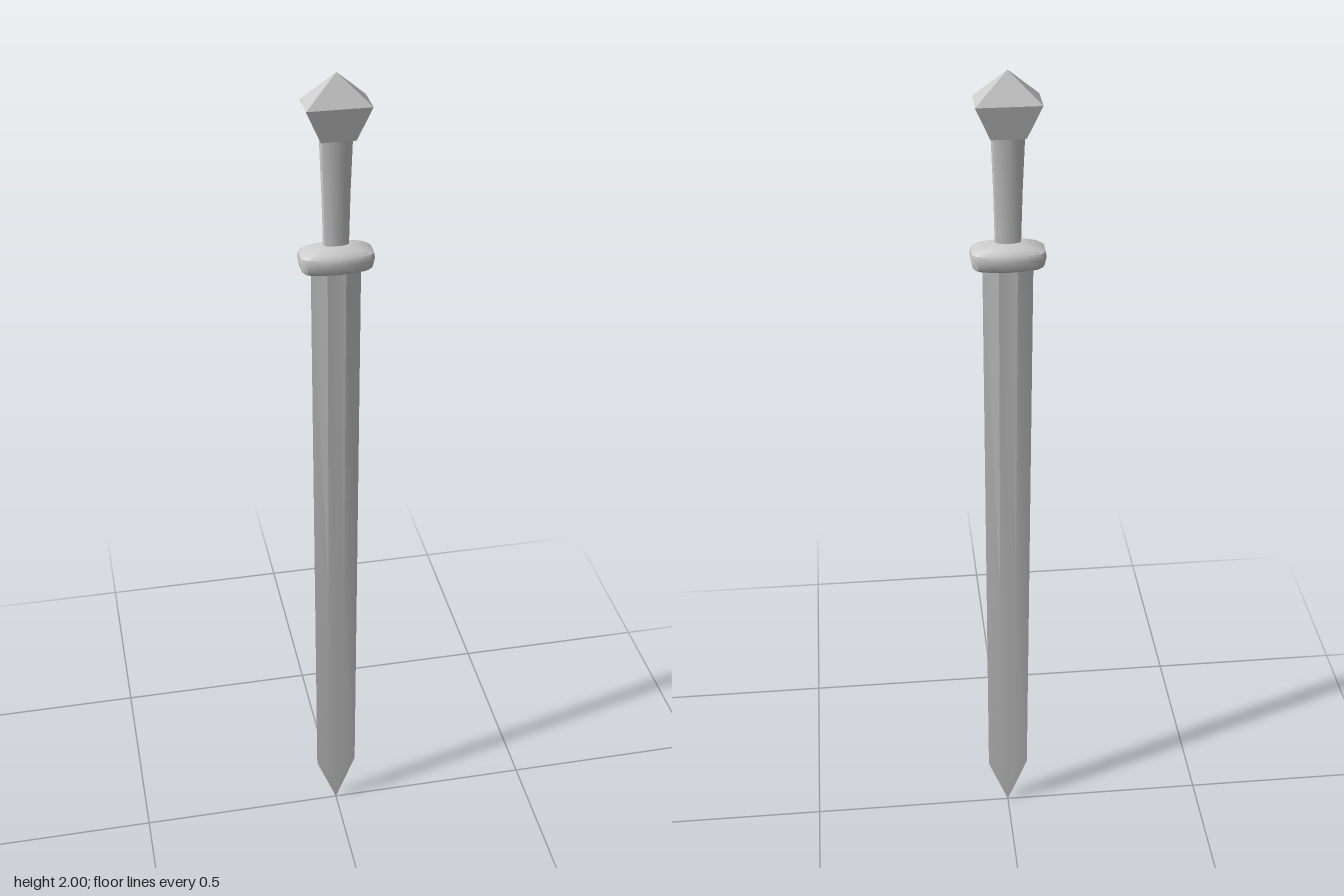
import * as THREE from 'three';
import { toCreasedNormals } from 'three/addons/utils/BufferGeometryUtils.js';

// Skins stacked cross-sections, listed bottom to top. Each level is [y, x scale, z scale];
// the section is a loop of [x, z] running counter-clockwise seen from above.
function loft(section, levels, crease) {
  const rings = levels.map(([y, sx, sz]) => section.map(([x, z]) => new THREE.Vector3(x * sx, y, z * sz)));
  const n = section.length;
  const pos = [];
  const tri = (a, b, c) => {
    if (new THREE.Triangle(a, b, c).getArea() < 1e-10) return;
    for (const p of [a, b, c]) pos.push(p.x, p.y, p.z);
  };
  for (let i = 0; i < rings.length - 1; i++) {
    for (let j = 0; j < n; j++) {
      const k = (j + 1) % n;
      tri(rings[i][j], rings[i][k], rings[i + 1][j]);
      tri(rings[i][k], rings[i + 1][k], rings[i + 1][j]);
    }
  }
  // End caps
  const low = rings[0], high = rings[rings.length - 1];
  for (let j = 1; j < n - 1; j++) {
    tri(low[0], low[j + 1], low[j]);
    tri(high[0], high[j], high[j + 1]);
  }
  const geometry = new THREE.BufferGeometry();
  geometry.setAttribute('position', new THREE.Float32BufferAttribute(pos, 3));
  return toCreasedNormals(geometry, crease);
}

// Completes a loop from the points of its right back quarter
function mirrorQuarter(quarter) {
  const half = [...quarter, ...quarter.slice(0, -1).reverse().map(([x, z]) => [-x, z])];
  return [...half, ...half.slice(1, -1).map(([x, z]) => [-x, -z])];
}

export function createModel() {
  const sword = new THREE.Group();
  sword.name = 'sword';
  const material = new THREE.MeshStandardMaterial({ color: 0xcccccc });
  const add = (name, geometry) => {
    const mesh = new THREE.Mesh(geometry, material);
    mesh.name = name;
    sword.add(mesh);
    return mesh;
  };

  // Thin blade with bevelled edges and a shallow central fuller, tapering to a point
  const bladeSection = mirrorQuarter([[1, 0], [0.37, -1], [0, -0.85]]);
  add('blade', loft(bladeSection, [
    [0, 0, 0.0008],
    [0.13, 0.05, 0.0025],
    [0.7, 0.052, 0.005],
    [1.58, 0.055, 0.0115],
  ], 0.2));

  // Rounded guard, fuller in the middle than at its ends
  const guardSection = mirrorQuarter([
    [1, 0], [1, -0.42], [0.95, -0.63], [0.85, -0.76], [0.45, -0.93], [0, -1],
  ]);
  add('guard', loft(guardSection, [
    [1.567, 0.07, 0.034],
    [1.573, 0.077, 0.041],
    [1.593, 0.081, 0.0445],
    [1.606, 0.079, 0.042],
    [1.614, 0.067, 0.034],
    [1.625, 0.031, 0.016],
  ], 0.7));

  // Flattened grip, widening towards the pommel
  const gripSection = mirrorQuarter([[1, 0], [0.9, -0.6], [0.5, -0.95], [0, -1]]);
  add('grip', loft(gripSection, [
    [1.61, 0.028, 0.014],
    [1.74, 0.031, 0.016],
    [1.87, 0.036, 0.02],
  ], 0.8));

  // Faceted pommel with a pyramid cap
  const pommelSection = [[1, 1], [1, -1], [-1, -1], [-1, 1]];
  const pommel = add('pommel', loft(pommelSection, [
    [1.862, 0.037, 0.025],
    [1.935, 0.069, 0.0365],
    [2, 0, 0],
  ], 0.01));
  pommel.position.set(0.001, 0, -0.001);

  return sword;
}
